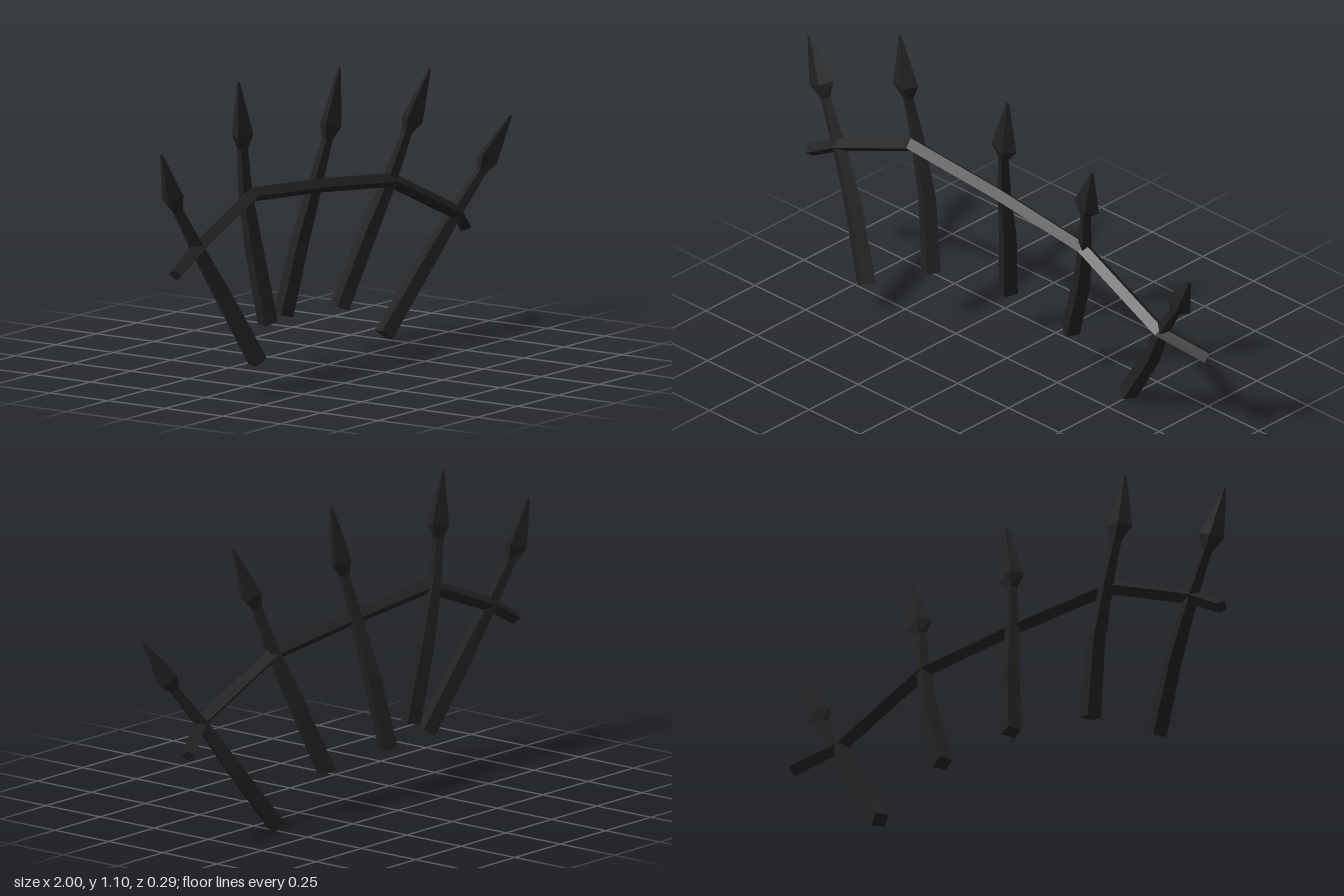
import * as THREE from 'three';

const iron = new THREE.MeshStandardMaterial({ color: 0x222222, flatShading: true });
iron.name = 'black iron';

// Four-sided bar swept through rings of [x, y, z, radius, depth factor], capped at both ends.
function bar(rings, phase, name) {
  const sides = 4;
  const pts = rings.map(r => new THREE.Vector3(r[0], r[1], r[2]));
  const loops = pts.map((p, i) => {
    const [, , , radius, depth] = rings[i];
    const next = pts[Math.min(i + 1, pts.length - 1)];
    const prev = pts[Math.max(i - 1, 0)];
    const t = next.clone().sub(prev).normalize();
    const n = new THREE.Vector3(0, 0, 1).addScaledVector(t, -t.z).normalize();
    const b = t.clone().cross(n);
    return Array.from({ length: sides }, (_, k) => {
      const a = phase + (k / sides) * Math.PI * 2;
      return p.clone()
        .addScaledVector(n, Math.cos(a) * radius * depth)
        .addScaledVector(b, Math.sin(a) * radius);
    });
  });
  const out = [];
  const quad = (a, b, c, d) => [a, b, c, a, c, d].forEach(v => out.push(v.x, v.y, v.z));
  for (let i = 0; i < loops.length - 1; i++) {
    for (let k = 0; k < sides; k++) {
      const m = (k + 1) % sides;
      quad(loops[i][k], loops[i][m], loops[i + 1][m], loops[i + 1][k]);
    }
  }
  const first = loops[0], last = loops[loops.length - 1];
  quad(first[3], first[2], first[1], first[0]);
  quad(last[0], last[1], last[2], last[3]);
  const geo = new THREE.BufferGeometry();
  geo.setAttribute('position', new THREE.Float32BufferAttribute(out, 3));
  geo.computeVertexNormals();
  const mesh = new THREE.Mesh(geo, iron);
  mesh.name = name;
  return mesh;
}

// Centre lines of each spike: foot, bend, rail crossing, head base, head shoulder, tip
const spikes = [
  [[-0.585, 0.118, 0.11], [-0.707, 0.36, 0.05], [-0.82, 0.556, 0.01], [-0.905, 0.7, -0.012], [-0.93, 0.75, -0.016], [-0.995, 0.915, -0.02]],
  [[-0.37, 0.21, 0.003], [-0.417, 0.487, -0.025], [-0.465, 0.69, -0.028], [-0.5, 0.86, -0.016], [-0.508, 0.912, -0.01], [-0.535, 1.105, -0.009]],
  [[-0.105, 0.186, -0.116], [-0.065, 0.455, -0.072], [-0.037, 0.657, -0.025], [-0.01, 0.82, 0.007], [0, 0.87, 0.015], [0.034, 1.073, 0.03]],
  [[0.218, 0.163, -0.1], [0.32, 0.42, -0.05], [0.385, 0.605, 0], [0.43, 0.78, 0.043], [0.447, 0.825, 0.055], [0.506, 1.0, 0.088]],
  [[0.497, 0.02, -0.105], [0.671, 0.262, -0.045], [0.775, 0.43, 0.01], [0.876, 0.565, 0.05], [0.904, 0.608, 0.058], [0.995, 0.755, 0.096]],
];
// Radius and depth factor along a spike; the head is a flattened blade
const spikeSection = [[0.037, 1], [0.034, 1], [0.026, 1], [0.02, 1], [0.054, 0.65], [0.005, 1]];

// Bent rail that ties the spikes together
const rail = [
  [-0.955, 0.477, 0.012, 0.024, 1.2], [-0.82, 0.553, 0.012, 0.026, 1.15], [-0.465, 0.69, 0.002, 0.027, 1.1],
  [-0.037, 0.655, 0, 0.026, 1.1], [0.385, 0.608, 0.006, 0.026, 1.1], [0.775, 0.43, 0.02, 0.026, 1.1],
  [0.93, 0.352, -0.062, 0.024, 1.2],
];

export function createModel() {
  const model = new THREE.Group();
  model.name = 'spikedFence';
  spikes.forEach((line, i) => {
    model.add(bar(line.map((p, k) => [...p, ...spikeSection[k]]), Math.PI / 8, 'spike' + (i + 1)));
  });
  model.add(bar(rail, 0.1, 'rail'));
  return model;
}
